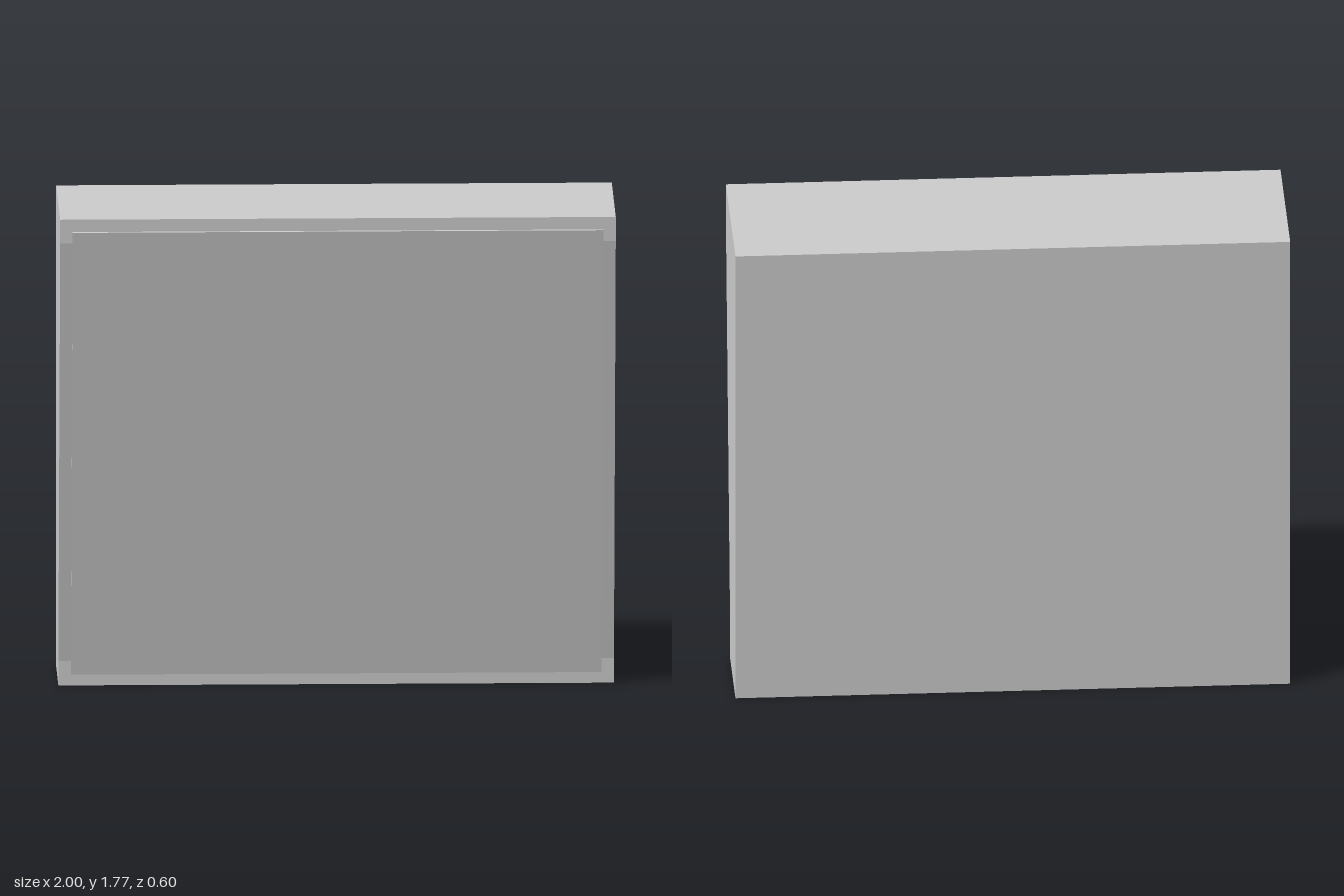
import * as THREE from 'three';

// Extrude a side profile of [z, y] points across the width, centred on x = 0
function extrudeAcross(name, points, width, material) {
  const shape = new THREE.Shape(points.map(([z, y]) => new THREE.Vector2(-z, y)));
  const geometry = new THREE.ExtrudeGeometry(shape, { depth: width, bevelEnabled: false });
  geometry.translate(0, 0, -width / 2);
  geometry.rotateY(Math.PI / 2);
  const mesh = new THREE.Mesh(geometry, material);
  mesh.name = name;
  return mesh;
}

export function createModel() {
  const group = new THREE.Group();
  group.name = 'wedgeCabinet';
  const material = new THREE.MeshStandardMaterial({ color: 0xcccccc, flatShading: true });

  // Cabinet: upright lips at the top and bottom of a sloping front
  group.add(extrudeAcross('cabinetBody', [
    [-0.298, 0], [0.018, 0], [0.018, 0.09],
    [0.29, 1.685], [0.29, 1.773], [-0.298, 1.773],
  ], 2, material));

  // Sloping front panel, slightly proud of the cabinet, with square-cut edges
  const low = [0.021, 0.04], high = [0.298, 1.726];
  const length = Math.hypot(high[0] - low[0], high[1] - low[1]);
  const thickness = 0.04;
  const backZ = -thickness * (high[1] - low[1]) / length;
  const backY = thickness * (high[0] - low[0]) / length;
  group.add(extrudeAcross('frontPanel', [
    low, high,
    [high[0] + backZ, high[1] + backY],
    [low[0] + backZ, low[1] + backY],
  ], 1.91, material));

  return group;
}
